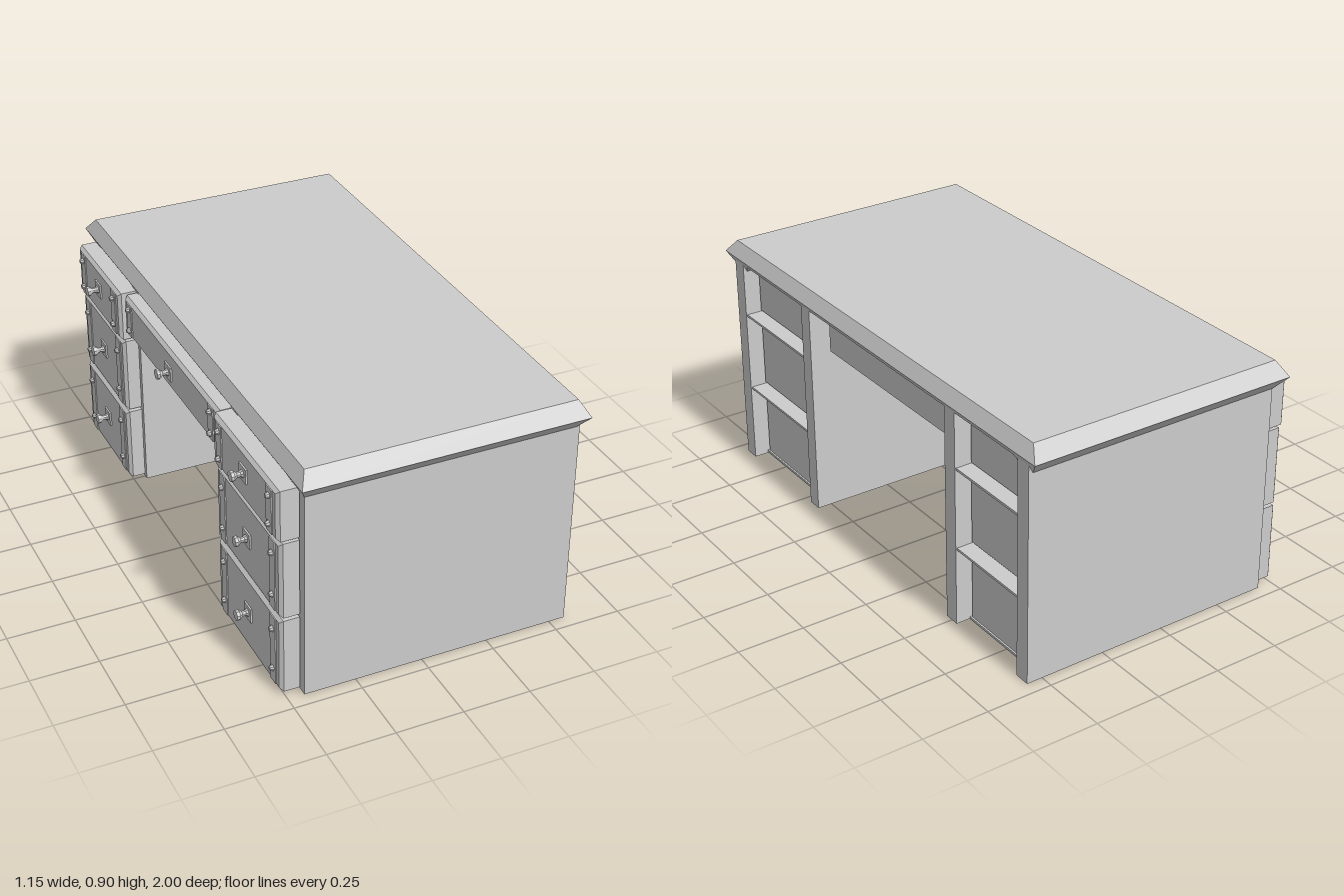
import * as THREE from 'three';

const grey = new THREE.MeshStandardMaterial({ color: 0xcccccc, flatShading: true });

function add(parent, name, geometry) {
  const mesh = new THREE.Mesh(geometry, grey);
  mesh.name = name;
  parent.add(mesh);
  return mesh;
}

// Box given by its limits on each axis
function box(parent, name, [x0, x1], [y0, y1], [z0, z1]) {
  const mesh = add(parent, name, new THREE.BoxGeometry(x1 - x0, y1 - y0, z1 - z0));
  mesh.position.set((x0 + x1) / 2, (y0 + y1) / 2, (z0 + z1) / 2);
  return mesh;
}

// Slab whose -x face has chamfered edges
function chamferedSlab(parent, name, xs, ys, zs, c = 0.012) {
  const [w, h, d] = [xs, ys, zs].map(([a, b]) => b - a);
  const g = new THREE.BoxGeometry(w, h, d, 2, 1, 1);
  const p = g.attributes.position;
  for (let i = 0; i < p.count; i++) {
    const x = p.getX(i);
    if (Math.abs(x) < 1e-6) p.setX(i, -w / 2 + c);
    else if (x < 0) {
      p.setY(i, p.getY(i) - Math.sign(p.getY(i)) * c);
      p.setZ(i, p.getZ(i) - Math.sign(p.getZ(i)) * c);
    }
  }
  const mesh = add(parent, name, g);
  mesh.position.set((xs[0] + xs[1]) / 2, (ys[0] + ys[1]) / 2, (zs[0] + zs[1]) / 2);
}

// Desk top: six-sided sections along z, mitred to an edge at both ends
function topGeometry() {
  const mid = 0.848, xl = -0.47, xr = 0.573;
  const section = (z, top, bottom, inT, inB) => [
    [xr, mid, z], [xr - inT, top, z], [xl + inT, top, z],
    [xl, mid, z], [xl + inB, bottom, z], [xr - inB, bottom, z]];
  const half = [
    [1, mid, mid, 0, 0], [0.953, 0.9, 0.795, 0.028, 0.028],
    [0.89, 0.9, 0.795, 0.028, 0.028], [0.86, 0.9, 0.824, 0.028, 0.014]];
  const rings = [
    ...half.map(([z, ...r]) => section(-z, ...r)),
    ...half.slice().reverse().map((r) => section(...r))];
  const pos = [];
  for (let i = 0; i + 1 < rings.length; i++) {
    for (let j = 0; j < 6; j++) {
      const k = (j + 1) % 6;
      const a = rings[i][j], b = rings[i][k], c = rings[i + 1][k], d = rings[i + 1][j];
      pos.push(...a, ...b, ...c, ...a, ...c, ...d);
    }
  }
  const g = new THREE.BufferGeometry();
  g.setAttribute('position', new THREE.Float32BufferAttribute(pos, 3));
  g.computeVertexNormals();
  return g;
}

// Flared knob on a square plate, pointing to -x
function knob(parent, x, y, z) {
  const group = new THREE.Group();
  group.name = 'knob';
  box(group, 'knobPlate', [-0.006, 0.002], [-0.028, 0.028], [-0.028, 0.028]);
  const profile = [[0, 0], [0.02, 0], [0.01, 0.014], [0.01, 0.027], [0.019, 0.038], [0.019, 0.049], [0, 0.05]]
    .map(([r, h]) => new THREE.Vector2(r, h));
  add(group, 'knobGrip', new THREE.LatheGeometry(profile, 8, Math.PI / 8)).rotation.z = Math.PI / 2;
  group.position.set(x, y, z);
  parent.add(group);
}

// Drawer: front slab, body, banded ends with studs, knob
function drawer(parent, name, front, ys, zs, bodyY, bodyZ, knobY) {
  const group = new THREE.Group();
  group.name = name;
  parent.add(group);
  chamferedSlab(group, 'drawerFront', [front, -0.445], ys, zs);
  box(group, 'drawerBody', [-0.446, 0.5], bodyY, bodyZ);
  const h = ys[1] - ys[0];
  for (const side of [0, 1]) {
    const z = side ? zs[1] - 0.055 : zs[0] + 0.055;
    box(group, 'band', [front - 0.004, front + 0.01], [ys[0] + 0.012, ys[1] - 0.012], [z - 0.022, z + 0.022]);
    for (const t of [0.23, 0.79]) {
      const stud = add(group, 'stud', new THREE.CylinderGeometry(0.008, 0.013, 0.014, 8));
      stud.rotation.z = Math.PI / 2;
      stud.position.set(front - 0.009, ys[0] + h * t, z);
    }
  }
  knob(group, front, knobY, (zs[0] + zs[1]) / 2);
}

export function createModel() {
  const desk = new THREE.Group();
  desk.name = 'desk';
  add(desk, 'deskTop', topGeometry());

  const pedestals = [
    { name: 'leftPedestal', outer: [0.89, 0.95], inner: [0.4, 0.457], front: [0.405, 0.925] },
    { name: 'rightPedestal', outer: [-0.95, -0.89], inner: [-0.535, -0.475], front: [-0.93, -0.495] }];
  const rows = [
    { y: [0.015, 0.308], body: [0.015, 0.293], front: -0.515, knob: 0.17 },
    { y: [0.32, 0.615], body: [0.318, 0.602], front: -0.515, knob: 0.475 },
    { y: [0.625, 0.818], body: [0.625, 0.81], front: -0.524, knob: 0.735 }];

  for (const { name, outer, inner, front } of pedestals) {
    const group = new THREE.Group();
    group.name = name;
    desk.add(group);
    // Side panels
    box(group, 'outerPanel', [-0.44, 0.56], [0, 0.828], outer);
    box(group, 'innerPanel', [-0.455, 0.56], [0.005, 0.828], inner);
    const span = outer[0] > 0 ? [inner[1], outer[0]] : [outer[1], inner[0]];
    // Shelves between drawers and the floor of the pedestal
    for (const y of [0.008, 0.303, 0.612])
      box(group, 'shelf', [-0.44, y < 0.1 ? 0.505 : 0.555], [y - 0.004, y + 0.005], span);
    const bodyZ = [span[0] + 0.004, span[1] - 0.008];
    for (const r of rows) drawer(group, 'drawer', r.front, r.y, front, r.body, bodyZ, r.knob);
  }

  // Wide drawer over the knee space
  drawer(desk, 'centreDrawer', -0.505, [0.663, 0.815], [-0.485, 0.398], [0.663, 0.812], [-0.432, 0.363], 0.73);
  return desk;
}
